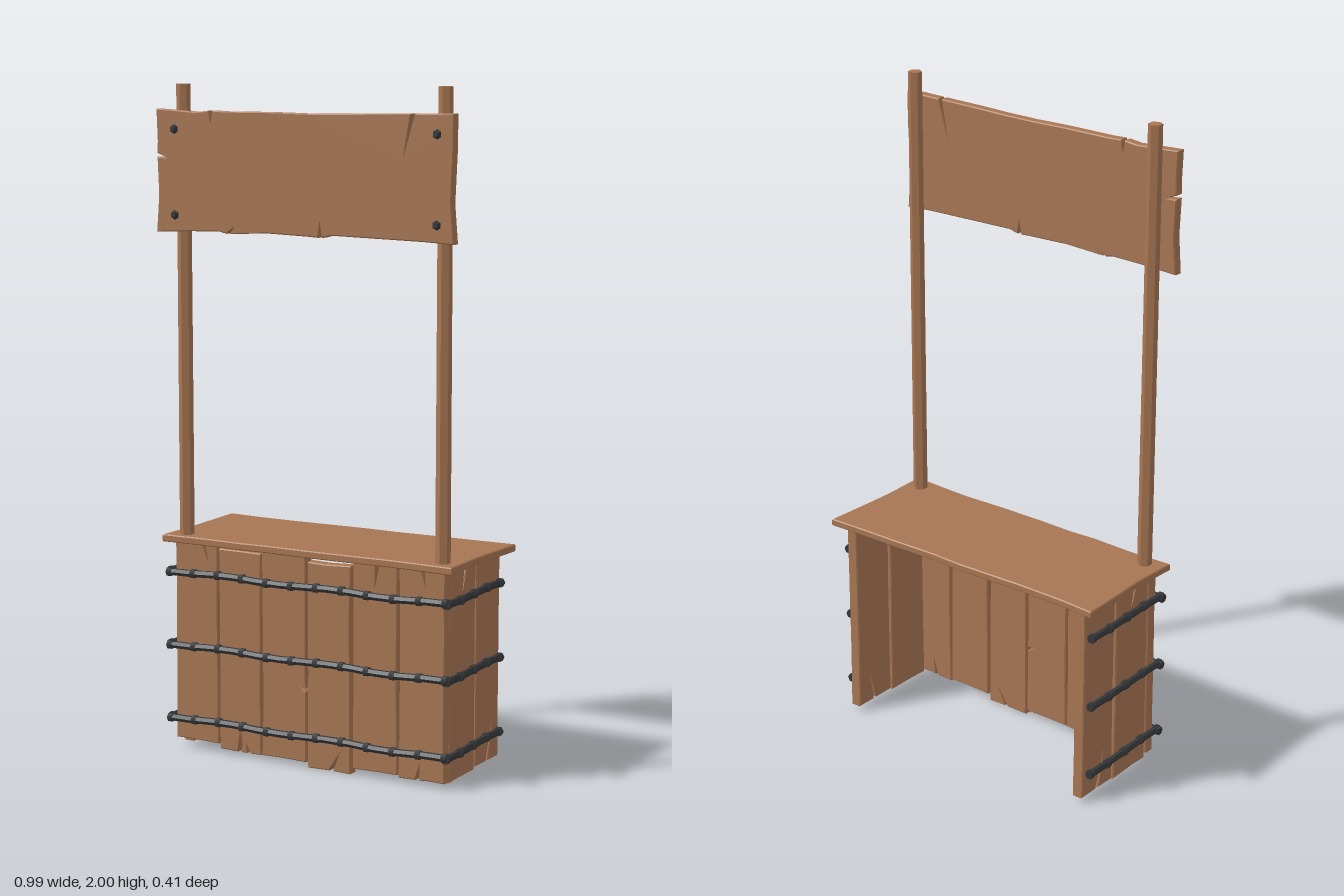
import * as THREE from 'three';

const wood = new THREE.MeshStandardMaterial({ name: 'wood', color: 0xa87653 });
const iron = new THREE.MeshStandardMaterial({ name: 'darkIron', color: 0x34373a });

// seeded jitter in -1..1
let seed = 7;
const jitter = () => {
  seed = (seed * 16807) % 2147483647;
  return (seed / 2147483647) * 2 - 1;
};

// Rough board, centred, thickness along z.
// cracks: [edge (0 bottom, 1 right, 2 top, 3 left), fraction along it, depth, lean]
function boardGeometry(w, h, t, cracks = [], rough = 0.003, bevel = 0.003) {
  const corners = [[-w / 2, -h / 2], [w / 2, -h / 2], [w / 2, h / 2], [-w / 2, h / 2]];
  const points = [];
  corners.forEach(([x, y], edge) => {
    const [x2, y2] = corners[(edge + 1) % 4];
    const length = Math.hypot(x2 - x, y2 - y);
    const dx = (x2 - x) / length, dy = (y2 - y) / length;
    const add = (along, inward) =>
      points.push(new THREE.Vector2(x + dx * along - dy * inward, y + dy * along + dx * inward));
    points.push(new THREE.Vector2(x + jitter() * rough * 0.5, y + jitter() * rough * 0.5));
    const stops = [];
    const n = Math.max(2, Math.round(length / 0.13));
    for (let i = 1; i < n; i++) {
      const f = (i + jitter() * 0.25) / n;
      if (!cracks.some(c => c[0] === edge && Math.abs(c[1] - f) * length < 0.025)) stops.push([f]);
    }
    cracks.filter(c => c[0] === edge).forEach(c => stops.push([c[1], c[2], c[3]]));
    stops.sort((a, b) => a[0] - b[0]).forEach(([f, depth, lean]) => {
      const along = f * length;
      if (depth) {
        add(along - 0.006, 0);
        add(along + lean, depth);
        add(along + 0.006, 0);
      } else add(along, Math.abs(jitter()) * rough);
    });
  });
  const geometry = new THREE.ExtrudeGeometry(new THREE.Shape(points), {
    depth: t - 2 * bevel, bevelEnabled: true, bevelThickness: bevel,
    bevelSize: bevel, bevelOffset: -bevel, bevelSegments: 1,
  });
  return geometry.translate(0, 0, -t / 2 + bevel);
}

function addMesh(parent, name, geometry, material, x, y, z) {
  const mesh = new THREE.Mesh(geometry, material);
  mesh.name = name;
  mesh.position.set(x, y, z);
  parent.add(mesh);
  return mesh;
}

// Lumpy hammered bar along x, with knobs
function ironBar(name, length) {
  const group = new THREE.Group();
  group.name = name;
  const n = Math.round(length / 0.08);
  const g = new THREE.CylinderGeometry(0.011, 0.011, length, 6, n).rotateZ(Math.PI / 2);
  const p = g.attributes.position;
  for (let i = 0; i < p.count; i++) {
    const x = p.getX(i);
    p.setY(i, p.getY(i) + 0.003 * Math.sin(x * 17));
    p.setZ(i, p.getZ(i) + 0.0015 * Math.sin(x * 29));
  }
  const flat = g.toNonIndexed();
  flat.computeVertexNormals();
  addMesh(group, 'bar', flat, iron, 0, 0, 0);
  const knobs = Math.max(3, Math.round(length / 0.09));
  for (let i = 0; i <= knobs; i++) {
    const x = (i / knobs - 0.5) * (length - 0.016);
    const knob = new THREE.CylinderGeometry(0.014, 0.014, 0.016, 6).rotateZ(Math.PI / 2);
    addMesh(group, 'knob', knob.toNonIndexed(), iron, x, 0.003 * Math.sin(x * 17), 0);
  }
  return group;
}

export function createModel() {
  seed = 7;
  const model = new THREE.Group();
  model.name = 'marketStall';

  // front planks: left x, right x, bottom, top, cracks
  [
    [-0.458, -0.308, 0.033, 0.645, [[2, 0.35, 0.06, -0.02]]],
    [-0.304, -0.158, 0.018, 0.632, [[0, 0.7, 0.1, -0.05], [0, 0.48, 0.19, 0.02]]],
    [-0.154, -0.003, 0.020, 0.645, [[1, 0.35, 0.025, 0.01]]],
    [0.002, 0.147, 0.006, 0.624, [[0, 0.55, 0.06, 0.03]]],
    [0.155, 0.303, 0.024, 0.641, [[2, 0.45, 0.07, 0.01]]],
    [0.308, 0.456, 0.020, 0.642, [[0, 0.4, 0.05, 0.01], [2, 0.5, 0.05, -0.01]]],
  ].forEach(([x0, x1, y0, y1, cracks]) => {
    addMesh(model, 'frontPlank', boardGeometry(x1 - x0, y1 - y0, 0.036, cracks), wood,
      (x0 + x1) / 2, (y0 + y1) / 2, 0.148);
  });

  // side planks
  for (const side of [-1, 1]) {
    [[-0.026, 0.13, 0.016, 0.637, [[2, 0.4, 0.07, 0.02]]],
     [-0.182, -0.034, 0.022, 0.642, [[0, 0.5, 0.12, 0.03]]],
    ].forEach(([z0, z1, y0, y1, cracks]) => {
      const plank = addMesh(model, 'sidePlank', boardGeometry(z1 - z0, y1 - y0, 0.036, cracks), wood,
        side * 0.437, (y0 + y1) / 2, (z0 + z1) / 2);
      plank.rotation.y = side * Math.PI / 2;
    });
  }

  // counter top
  const counter = addMesh(model, 'counterTop', boardGeometry(0.985, 0.396, 0.022, [], 0.01), wood, 0, 0.65, -0.006);
  counter.rotation.x = -Math.PI / 2;

  // iron bands around the front and sides
  for (const y of [0.1, 0.326, 0.55]) {
    const front = ironBar('frontBand', 0.95);
    front.position.set(-0.003, y, 0.178);
    model.add(front);
    for (const side of [-1, 1]) {
      const band = ironBar('sideBand', 0.35);
      band.position.set(side * 0.467, y, 0.008);
      band.rotation.y = side * Math.PI / 2;
      model.add(band);
    }
  }

  // posts and sign nails
  for (const x of [-0.43, 0.436]) {
    const post = new THREE.CylinderGeometry(0.021, 0.022, 1.36, 6, 1).toNonIndexed();
    post.computeVertexNormals();
    addMesh(model, 'post', post, wood, x, 1.32, 0.143);
    for (const y of [1.62, 1.87]) {
      const nail = new THREE.CylinderGeometry(0.008, 0.015, 0.012, 6).rotateX(Math.PI / 2).toNonIndexed();
      nail.computeVertexNormals();
      addMesh(model, 'signNail', nail, iron, x, y, 0.199);
    }
  }

  // sign board
  addMesh(model, 'signBoard', boardGeometry(0.978, 0.354, 0.03, [
    [0, 0.565, 0.045, 0], [0, 0.25, 0.02, 0.02], [2, 0.13, 0.12, 0.03],
    [2, 0.81, 0.035, 0], [3, 0.37, 0.04, 0.01],
  ], 0.008), wood, -0.002, 1.748, 0.179);

  return model;
}
